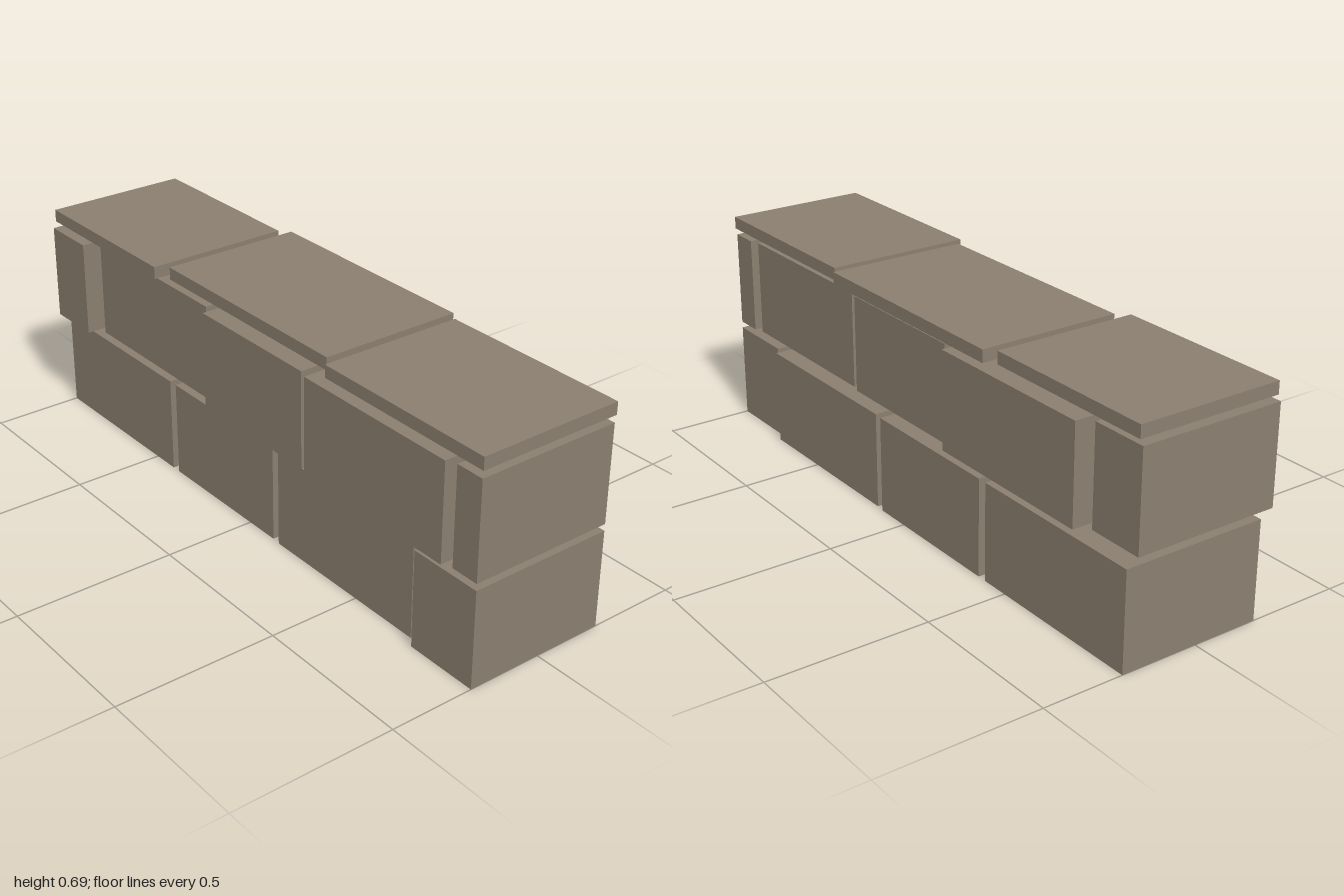
import * as THREE from 'three';

// Each course: bottom and top height, then blocks as [x0, x1, z0, z1]
const courses = [
  { name: 'lowerBlock', y0: 0, y1: 0.305, openBase: true, blocks: [
    [-1, -0.41, -0.247, 0.21],
    [-0.38, 0.115, -0.247, 0.21],
    [0.145, 0.735, -0.243, 0.213],
    [0.765, 1, -0.22, 0.237],
  ] },
  { name: 'upperBlock', y0: 0.326, y1: 0.63, blocks: [
    [-1, -0.82, -0.21, 0.25],
    [-0.79, -0.21, -0.25, 0.205],
    [-0.18, 0.285, -0.22, 0.237],
    [0.315, 0.88, -0.21, 0.25],
    [0.91, 1, -0.22, 0.237],
  ] },
  { name: 'copingSlab', y0: 0.651, y1: 0.69, blocks: [
    [-1, -0.425, -0.22, 0.24],
    [-0.395, 0.355, -0.247, 0.205],
    [0.385, 1, -0.225, 0.235],
  ] },
];

// Box between two corners, optionally without its underside
function blockGeometry([x0, x1, z0, z1], y0, y1, openBase) {
  const geo = new THREE.BoxGeometry(x1 - x0, y1 - y0, z1 - z0);
  geo.translate((x0 + x1) / 2, (y0 + y1) / 2, (z0 + z1) / 2);
  if (openBase) {
    const index = Array.from(geo.index.array);
    index.splice(18, 6); // the box's fourth side is its underside
    geo.setIndex(index);
    geo.clearGroups();
  }
  return geo;
}

export function createModel() {
  const wall = new THREE.Group();
  wall.name = 'stoneWall';

  const stone = new THREE.MeshStandardMaterial({ color: 0x8b7f70, side: THREE.DoubleSide });
  stone.name = 'stone';

  for (const { name, y0, y1, openBase, blocks } of courses) {
    const course = new THREE.Group();
    course.name = name + 'Course';
    blocks.forEach((block, i) => {
      const mesh = new THREE.Mesh(blockGeometry(block, y0, y1, openBase), stone);
      mesh.name = name + (i + 1);
      course.add(mesh);
    });
    wall.add(course);
  }
  return wall;
}
